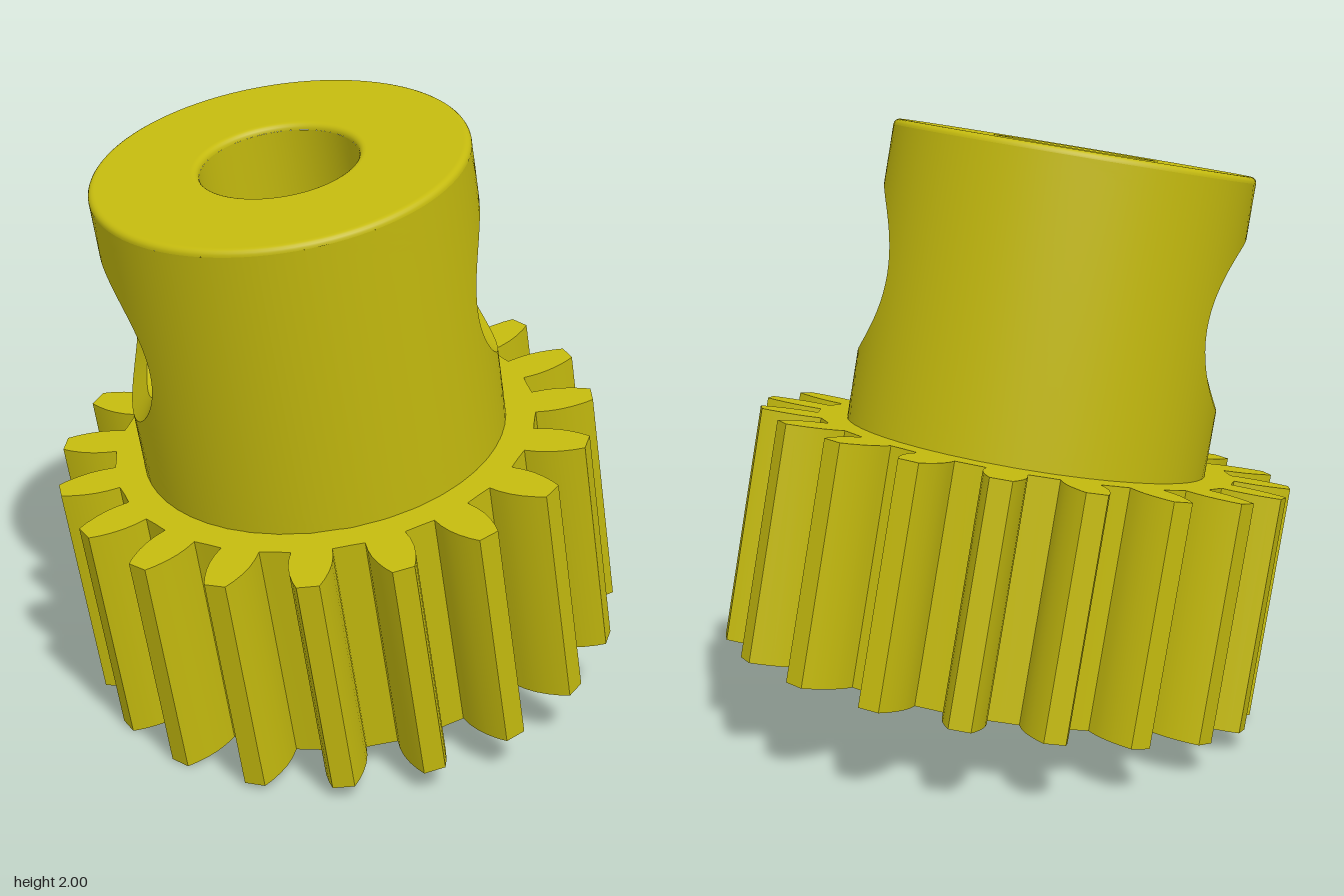
import * as THREE from 'three';
import { toCreasedNormals } from 'three/addons/utils/BufferGeometryUtils.js';
import { ParametricGeometry } from 'three/addons/geometries/ParametricGeometry.js';

const TEETH = 19, GEAR_H = 0.77, TOTAL_H = 1.756;
const HUB_R = 0.596, BORE_R = 0.25;
const HOLE_R = 0.22, HOLE_Y = 1.27, CHAMFER = 0.06, FILLET = 0.02;
const HOLE_AZIMUTH = THREE.MathUtils.degToRad(12.5);

const material = new THREE.MeshStandardMaterial({ color: 0xc4ba0e });

function add(parent, name, geometry) {
  const mesh = new THREE.Mesh(geometry, material);
  mesh.name = name;
  parent.add(mesh);
  return mesh;
}

// Toothed wheel: one tooth profile repeated round the circle, with the bore cut out
function gearGeometry() {
  const flank = [[0.69, 0.064], [0.73, 0.068], [0.77, 0.067], [0.81, 0.06], [0.85, 0.048], [0.88, 0.035]];
  const tooth = [
    ...flank.map(([r, w]) => [r, -w]),
    ...flank.slice().reverse(),
  ];
  const points = [];
  for (let k = 0; k < TEETH; k++) {
    const a = (k / TEETH) * Math.PI * 2, c = Math.cos(a), s = Math.sin(a);
    for (const [r, w] of tooth) points.push(new THREE.Vector2(r * c - w * s, r * s + w * c));
    const mid = a + Math.PI / TEETH;
    points.push(new THREE.Vector2(0.69 * Math.cos(mid), 0.69 * Math.sin(mid)));
  }
  const shape = new THREE.Shape(points);
  shape.holes.push(new THREE.Path().absarc(0, 0, BORE_R, 0, Math.PI * 2, true));
  const geometry = new THREE.ExtrudeGeometry(shape, { depth: GEAR_H, bevelEnabled: false, curveSegments: 48 });
  geometry.rotateX(-Math.PI / 2);
  return toCreasedNormals(geometry, 0.45);
}

// Point on an upright cylinder; angle is measured from +x towards -z
const onCylinder = ({ r, a, y }, target) => target.set(r * Math.cos(a), y, -r * Math.sin(a));

// Oval cut into a cylinder of radius r, facing +x
const oval = (r, halfW, halfH) => (phi) => ({
  r, a: Math.asin((halfW * Math.cos(phi)) / r), y: HOLE_Y + halfH * Math.sin(phi),
});

// Outline of half a cylinder wall, from bottom to top
const halfWall = (r, bottom, top) => (phi) => {
  const c = Math.cos(phi), s = Math.sin(phi), m = Math.max(Math.abs(c), Math.abs(s));
  const h = s / m;
  return { r, a: (c / m) * Math.PI / 2, y: HOLE_Y + h * (h > 0 ? top - HOLE_Y : HOLE_Y - bottom) };
};

// Curved wall between an oval and the outline around it
function wall(inner, outer, direction) {
  return new ParametricGeometry((u, t, target) => {
    const phi = direction * u * Math.PI * 2, p = inner(phi), q = outer(phi);
    onCylinder({ r: p.r, a: p.a + (q.a - p.a) * t, y: p.y + (q.y - p.y) * t }, target);
  }, 96, 14);
}

// Straight band joining two ovals
function band(from, to) {
  const end = new THREE.Vector3();
  return new ParametricGeometry((u, t, target) => {
    const phi = u * Math.PI * 2;
    onCylinder(to(phi), end);
    onCylinder(from(phi), target).lerp(end, t);
  }, 96, 2);
}

// Half of the hub with its chamfered cross hole
function hubHalf(turn) {
  const half = new THREE.Group();
  half.name = 'hubHalf';
  half.rotation.y = turn;
  const mouth = oval(HUB_R, 0.305, 0.283);
  const throat = oval(HUB_R - CHAMFER, HOLE_R, HOLE_R);
  const exit = oval(BORE_R, HOLE_R, HOLE_R);
  const top = TOTAL_H - FILLET;
  add(half, 'hubWall', wall(mouth, halfWall(HUB_R, GEAR_H - 0.005, top), -1));
  add(half, 'crossHoleChamfer', band(mouth, throat));
  add(half, 'crossHole', band(throat, exit));
  add(half, 'boreWall', wall(exit, halfWall(BORE_R, GEAR_H - 0.005, top), 1));
  return half;
}

// Top ring with rounded outer and bore edges
function hubTopGeometry() {
  const points = [];
  const steps = 5;
  for (let i = 0; i <= steps; i++) {
    const a = (i / steps) * Math.PI / 2;
    points.push(new THREE.Vector2(HUB_R - FILLET + FILLET * Math.cos(a), TOTAL_H - FILLET + FILLET * Math.sin(a)));
  }
  points.push(new THREE.Vector2(HUB_R - FILLET - 0.004, TOTAL_H));
  points.push(new THREE.Vector2(BORE_R + FILLET + 0.004, TOTAL_H));
  for (let i = 0; i <= steps; i++) {
    const a = (1 - i / steps) * Math.PI / 2;
    points.push(new THREE.Vector2(BORE_R + FILLET - FILLET * Math.cos(a), TOTAL_H - FILLET + FILLET * Math.sin(a)));
  }
  return new THREE.LatheGeometry(points, 96);
}

export function createModel() {
  const model = new THREE.Group();
  model.name = 'pinionGear';

  // The whole pinion leans over on the rim of its gear
  const pinion = new THREE.Group();
  pinion.name = 'pinion';
  const axis = new THREE.Vector3(-0.174, 0.982, 0.068).normalize();
  pinion.quaternion.setFromUnitVectors(new THREE.Vector3(0, 1, 0), axis);
  pinion.position.set(0.06, 0.165, -0.025);
  model.add(pinion);

  add(pinion, 'gearWheel', gearGeometry());
  for (const turn of [0, Math.PI]) pinion.add(hubHalf(turn - HOLE_AZIMUTH));
  add(pinion, 'hubTop', hubTopGeometry());

  return model;
}
